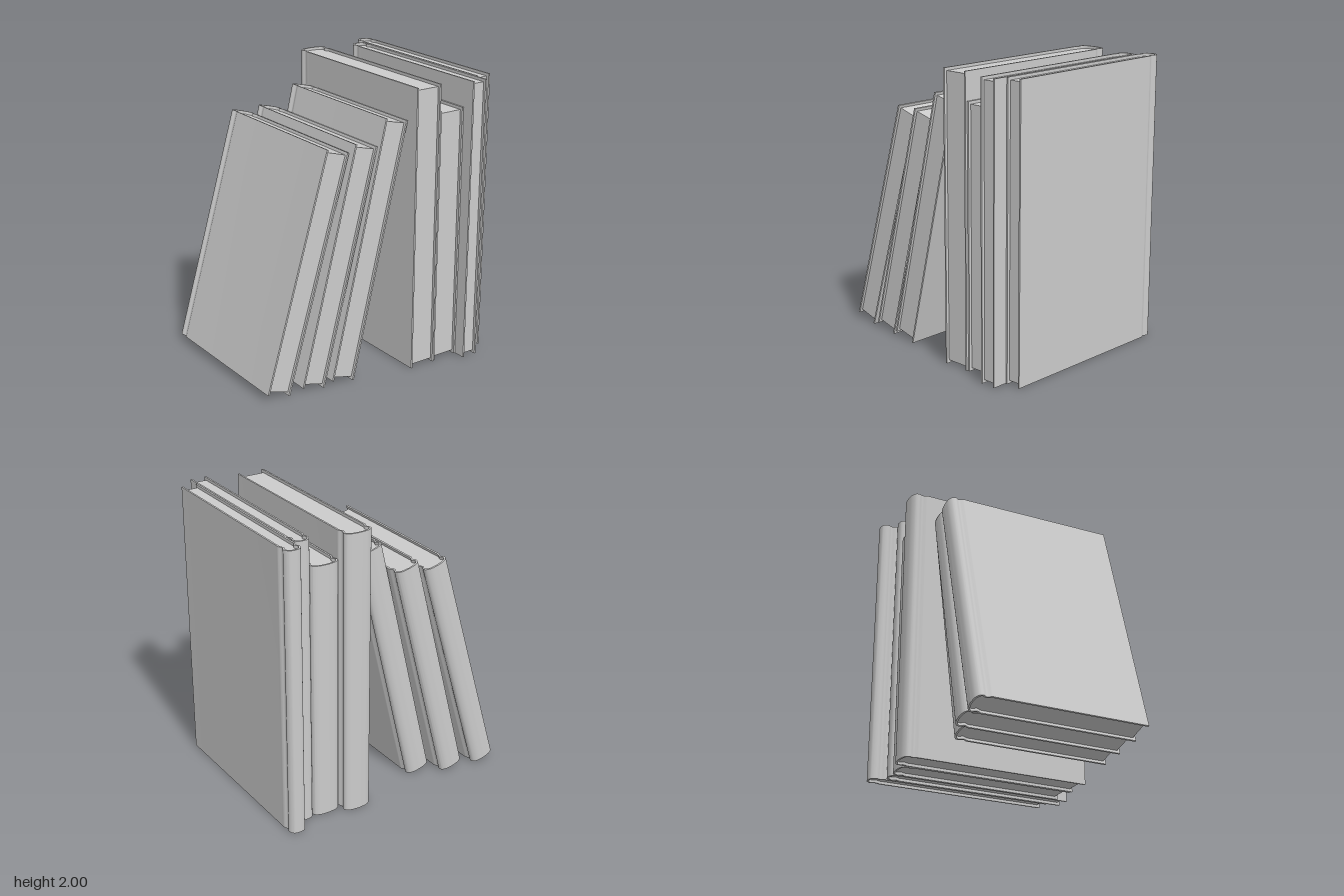
import * as THREE from 'three';
import { toCreasedNormals } from 'three/addons/utils/BufferGeometryUtils.js';

const BOARD = 0.012; // cover thickness
const LIP = 0.02;    // how far the cover overhangs the pages

// Half outline of a cover from front edge to spine centre, seen from above (shape y = -z)
function halfOutline(w, back, front, inset) {
  const x = w - inset, y = back;
  const curve = new THREE.CatmullRomCurve3([
    [x, y - 0.13], [x, y - 0.105], [x - 0.012, y - 0.075], [x - 0.001, y - 0.048],
    [x - 0.007, y - 0.026 - inset * 0.5], [x * 0.6, y - 0.007 - inset], [0, y - inset],
  ].map(([a, b]) => new THREE.Vector3(a, b, 0)), false, 'centripetal');
  return [new THREE.Vector2(x, front), ...curve.getPoints(30).map(p => new THREE.Vector2(p.x, p.y))];
}

// Mirror the half outline into one path around the spine
function outline(w, back, front, inset) {
  const half = halfOutline(w, back, front, inset);
  const mirrored = half.slice(0, -1).reverse().map(p => new THREE.Vector2(-p.x, p.y));
  return [...half, ...mirrored];
}

function upright(points, height, y, name, material) {
  const geo = new THREE.ExtrudeGeometry(new THREE.Shape(points), { depth: height, bevelEnabled: false });
  geo.rotateX(-Math.PI / 2).translate(0, y, 0);
  const mesh = new THREE.Mesh(toCreasedNormals(geo, 0.6), material);
  mesh.name = name;
  return mesh;
}

// One book: right-hand bottom corner sits at the group origin
function makeBook({ width, height, back, front }, material) {
  const book = new THREE.Group();
  const w = width / 2;
  const outer = outline(w, -back, -front, 0);
  const inner = outline(w, -back, -front, BOARD);
  const cover = upright([...outer, ...inner.reverse()], height, 0, 'cover', material);
  const pages = upright(outline(w, -back, -front + LIP, BOARD - 0.001), height - 2 * LIP, LIP, 'pages', material);
  book.add(cover, pages);
  book.children.forEach(m => { m.position.x = -w; });
  return book;
}

export function createModel() {
  const model = new THREE.Group();
  model.name = 'bookRow';
  const material = new THREE.MeshStandardMaterial({ color: 0xcccccc });

  // right = x of the bottom right corner, lean in degrees
  const books = [
    { right: -0.692, width: 0.18, height: 1.675, back: -0.69, front: 0.51, lean: 16.5 },
    { right: -0.437, width: 0.18, height: 1.675, back: -0.655, front: 0.545, lean: 14.6 },
    { right: -0.212, width: 0.182, height: 1.815, back: -0.56, front: 0.57, lean: 13.5 },
    { right: 0.415, width: 0.2, height: 2, back: -0.71, front: 0.66, lean: 0 },
    { right: 0.62, width: 0.2, height: 1.81, back: -0.645, front: 0.65, lean: 0 },
    { right: 0.74, width: 0.118, height: 2, back: -0.637, front: 0.735, lean: 0 },
    { right: 0.861, width: 0.118, height: 2, back: -0.738, front: 0.63, lean: 0 },
  ];
  books.forEach((spec, i) => {
    const book = makeBook(spec, material);
    book.name = (spec.lean ? 'leaningBook' : 'uprightBook') + (i + 1);
    book.position.x = spec.right;
    book.rotation.z = -THREE.MathUtils.degToRad(spec.lean);
    model.add(book);
  });
  return model;
}
